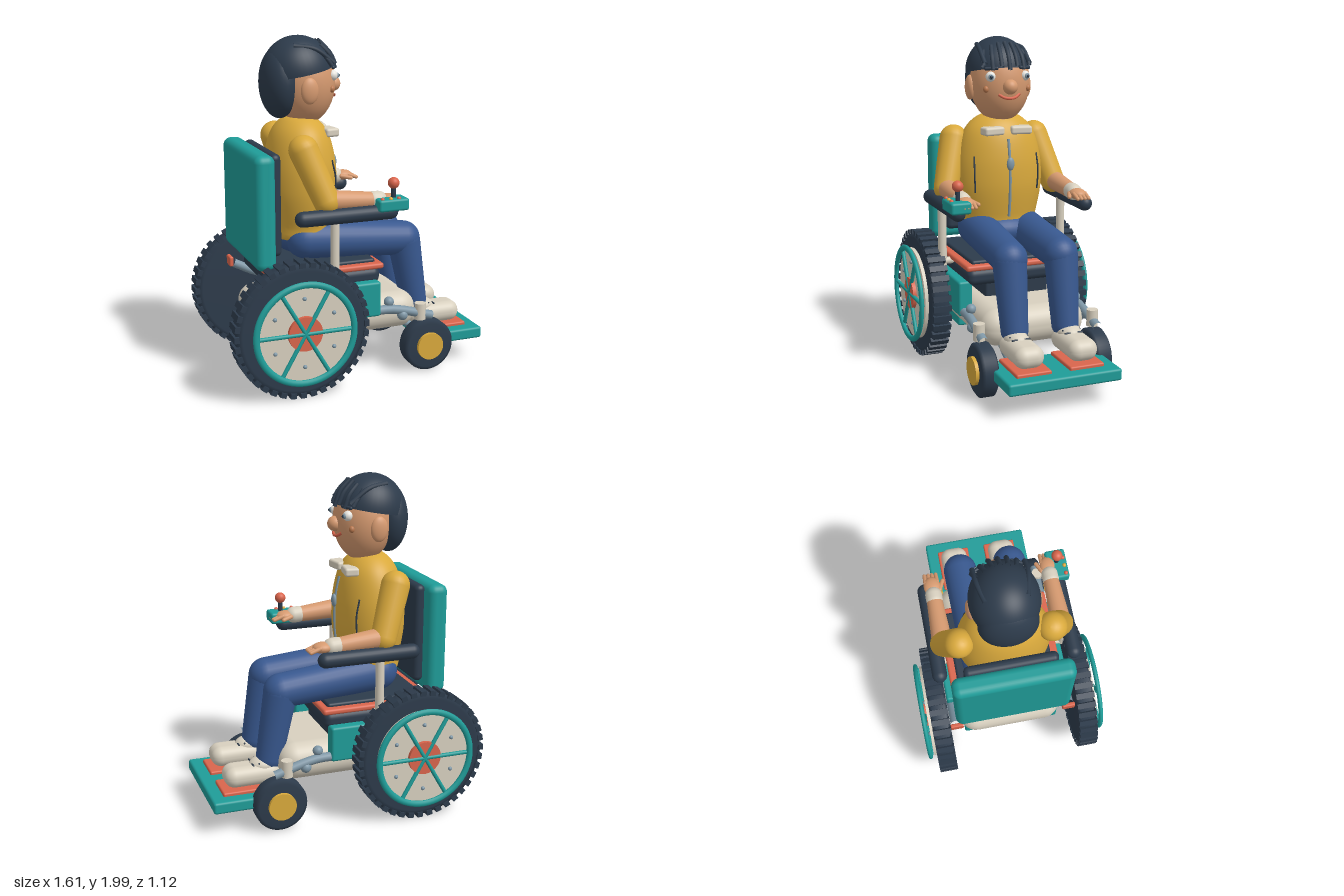
import * as THREE from 'three';
import { RoundedBoxGeometry } from 'three/addons/geometries/RoundedBoxGeometry.js';

const mat = (name, color, side = THREE.FrontSide) => {
  const m = new THREE.MeshStandardMaterial({ color, side });
  m.name = name;
  return m;
};

export function createModel() {
  const root = new THREE.Group();
  root.name = 'personInWheelchair';
  const teal = mat('teal', 0x1f9c98), navy = mat('navy', 0x2d3b4b, THREE.DoubleSide);
  const cream = mat('cream', 0xd8d0bf), gold = mat('gold', 0xd9a93c), denim = mat('denim', 0x38588f);
  const skin = mat('skin', 0xd69a70), coral = mat('coral', 0xd9654c), steel = mat('steel', 0x7f97a6);
  const freckle = mat('freckle', 0xb9784e), white = mat('eyeWhite', 0xf0eee8);

  const V = (x, y, z) => new THREE.Vector3(x, y, z);
  const add = (name, geo, m, x = 0, y = 0, z = 0, parent = root) => {
    const mesh = new THREE.Mesh(geo, m);
    mesh.name = name;
    mesh.position.set(x, y, z);
    parent.add(mesh);
    return mesh;
  };
  // Rounded box given by its limits on each axis
  const block = (name, m, [x0, x1], [y0, y1], [z0, z1], r = 0.015) =>
    add(name, new RoundedBoxGeometry(x1 - x0, y1 - y0, z1 - z0, 4, r), m, (x0 + x1) / 2, (y0 + y1) / 2, (z0 + z1) / 2);
  const ball = (name, m, x, y, z, rx, ry = rx, rz = rx, parent = root) => {
    const b = add(name, new THREE.SphereGeometry(1, 32, 20), m, x, y, z, parent);
    b.scale.set(rx, ry, rz);
    return b;
  };
  // Tapered capsule between two points
  const limb = (name, m, a, b, ra, rb = ra, parent = root) => {
    const len = a.distanceTo(b), pts = [];
    for (let i = 0; i <= 8; i++) {
      const t = -Math.PI / 2 + (i / 8) * Math.PI / 2;
      pts.push(new THREE.Vector2(Math.max(0, ra * Math.cos(t)), ra * Math.sin(t)));
    }
    for (let i = 0; i <= 8; i++) {
      const t = (i / 8) * Math.PI / 2;
      pts.push(new THREE.Vector2(Math.max(0, rb * Math.cos(t)), len + rb * Math.sin(t)));
    }
    const mesh = add(name, new THREE.LatheGeometry(pts, 24), m, a.x, a.y, a.z, parent);
    mesh.quaternion.setFromUnitVectors(V(0, 1, 0), b.clone().sub(a).normalize());
    return mesh;
  };
  const tube = (name, m, pts, r) =>
    add(name, new THREE.TubeGeometry(new THREE.CatmullRomCurve3(pts), 24, r, 10), m);
  // Disc whose axis runs along z
  const disc = (name, m, r, depth, z, parent, r2 = r) => {
    const d = add(name, new THREE.CylinderGeometry(r2, r, depth, 48), m, 0, 0, z, parent);
    d.rotation.x = Math.PI / 2;
    return d;
  };

  // Drive wheels: tyre, tread, wheel cover, spokes, hub and push ring
  const driveWheel = (s) => {
    const g = new THREE.Group();
    g.name = s > 0 ? 'leftDriveWheel' : 'rightDriveWheel';
    g.position.set(-0.41, 0.405, 0.445 * s);
    if (s < 0) g.rotation.y = Math.PI;
    root.add(g);
    const prof = [[0, -0.05], [0.35, -0.055], [0.385, -0.04], [0.385, 0.04], [0.35, 0.055], [0, 0.05]];
    add('tyre', new THREE.LatheGeometry(prof.map(p => new THREE.Vector2(...p)), 64), navy, 0, 0, 0, g).rotation.x = Math.PI / 2;
    for (let i = 0; i < 40; i++) {
      const a = i / 40 * Math.PI * 2;
      const t = add('tread', new THREE.BoxGeometry(0.03, 0.035, 0.112), navy, 0.383 * Math.cos(a), 0.383 * Math.sin(a), 0, g);
      t.rotation.z = a;
    }
    disc('wheelCover', cream, 0.285, 0.04, 0.055, g);
    const ring = add('pushRing', new THREE.TorusGeometry(0.287, 0.019, 12, 64), teal, 0, 0, 0.1, g);
    ring.scale.z = 0.75;
    disc('hub', coral, 0.1, 0.025, 0.085, g);
    for (let i = 0; i < 6; i++) {
      const a = i * Math.PI / 3, b = a + Math.PI / 6;
      limb('spoke', teal, V(0, 0, 0.092), V(0.28 * Math.cos(a), 0.28 * Math.sin(a), 0.092), 0.012, 0.012, g);
      ball('bolt', steel, 0.2 * Math.cos(b), 0.2 * Math.sin(b), 0.077, 0.012, 0.012, 0.012, g);
    }
  };

  // Chassis, seat and backrest
  block('chassis', cream, [-0.58, 0.39], [0.255, 0.48], [-0.32, 0.32], 0.105);
  block('batteryTray', teal, [-0.55, -0.16], [0.235, 0.36], [-0.3, 0.3]);
  block('seatPedestal', navy, [-0.4, 0.06], [0.46, 0.6], [-0.2, 0.2]);
  block('seatBase', navy, [-0.52, 0.13], [0.57, 0.67], [-0.33, 0.33], 0.04);
  block('seatTrim', coral, [-0.55, 0.145], [0.665, 0.7], [-0.345, 0.345]);
  block('seatPad', navy, [-0.5, 0.105], [0.67, 0.72], [-0.3, 0.3]);
  block('backrest', teal, [-0.625, -0.505], [0.72, 1.38], [-0.35, 0.35], 0.045);
  block('backCushion', navy, [-0.515, -0.45], [0.78, 1.37], [-0.27, 0.27], 0.03);

  // Footplate
  block('footplate', teal, [0.43, 0.805], [0.145, 0.215], [-0.34, 0.34]);

  for (const s of [1, -1]) {
    driveWheel(s);
    const P = (x, y, z) => V(x, y, z * s);
    const span = (a, b) => s > 0 ? [a, b] : [-b, -a];

    // Side frame
    block('sidePanel', teal, [-0.42, 0.11], [0.39, 0.6], span(0.3, 0.385));
    tube('frameTube', steel, [P(-0.57, 0.58, 0.36), P(-0.4, 0.5, 0.36), P(0, 0.42, 0.355), P(0.2, 0.41, 0.35), P(0.45, 0.345, 0.355)], 0.027);
    limb('axle', steel, P(-0.41, 0.405, 0.25), P(-0.41, 0.405, 0.4), 0.03);
    ball('frameBolt', steel, 0.18, 0.455, 0.335 * s, 0.03);
    ball('frameBolt', steel, 0.26, 0.37, 0.355 * s, 0.032);
    limb('footplateStrut', steel, P(0.25, 0.31, 0.2), P(0.5, 0.18, 0.2), 0.022);
    block('rearReflector', coral, [-0.605, -0.58], [0.57, 0.63], span(0.31, 0.39), 0.008);

    // Caster
    add('casterPivot', new THREE.CylinderGeometry(0.034, 0.034, 0.1, 24), cream, 0.375, 0.38, 0.355 * s);
    const c = new THREE.Group();
    c.name = 'caster';
    c.position.set(0.42, 0.17, 0.35 * s);
    if (s < 0) c.rotation.y = Math.PI;
    root.add(c);
    const cp = [[0, -0.05], [0.135, -0.05], [0.157, -0.035], [0.157, 0.035], [0.135, 0.05], [0, 0.05]];
    add('casterTyre', new THREE.LatheGeometry(cp.map(p => new THREE.Vector2(...p)), 48), navy, 0, 0, 0, c).rotation.x = Math.PI / 2;
    disc('casterHub', gold, 0.082, 0.14, 0, c);

    // Armrest
    const arm = limb('armrest', navy, P(-0.375, 1.022, 0.4), P(0.155, 1.022, 0.4), 0.044);
    arm.renderOrder = 0;
    limb('armrestPost', cream, P(-0.18, 0.64, 0.39), P(-0.18, 0.99, 0.39), 0.026);
    limb('postBracket', cream, P(-0.18, 0.66, 0.39), P(-0.18, 0.66, 0.31), 0.022);

    // Foot mats and shoes
    block('footMat', coral, [0.45, 0.73], [0.2, 0.235], span(0.055, 0.265), 0.01);
    block('shoe', cream, [0.37, 0.705], [0.235, 0.36], span(0.075, 0.25), 0.06);
    ball('shoeTongue', cream, 0.46, 0.345, 0.163 * s, 0.09, 0.05, 0.07);
    for (const x of [0.5, 0.535])
      limb('lace', navy, P(x, 0.368 - (x - 0.5) * 0.2, 0.11), P(x, 0.368 - (x - 0.5) * 0.2, 0.215), 0.005);

    // Legs
    limb('thigh', denim, P(-0.27, 0.835, 0.14), P(0.345, 0.785, 0.157), 0.115, 0.103);
    limb('shin', denim, P(0.35, 0.77, 0.16), P(0.422, 0.38, 0.158), 0.1, 0.08);

    // Arms and hands
    limb('sleeve', gold, P(-0.32, 1.385, 0.265), P(-0.215, 1.1, 0.35), 0.085, 0.075);
    limb('forearm', skin, P(-0.2, 1.105, 0.352), P(0.08, 1.085, 0.352), 0.06, 0.046);
    limb('wristBand', cream, P(0.07, 1.087, 0.352), P(0.1, 1.085, 0.352), 0.05);
    ball('hand', skin, 0.155, 1.085, 0.352 * s, 0.06, 0.032, 0.05);
    for (let i = 0; i < 4; i++) {
      const z = 0.318 + i * 0.023;
      limb('finger', skin, P(0.18, 1.09, z), P(0.235, 1.07, z), 0.013, 0.011);
    }
    limb('thumb', skin, P(0.13, 1.085, 0.31), P(0.185, 1.075, 0.285), 0.014, 0.012);

    // Collar and jacket seams
    const tab = block('collarTab', cream, [-0.15, -0.065], [1.425, 1.475], span(0.025, 0.155));
    tab.rotation.y = 0.15 * s;
    tube('jacketSeam', navy, [P(-0.125, 1.3, 0.2), P(-0.105, 1.2, 0.205), P(-0.11, 1.08, 0.2)], 0.005);

    // Ears, eyes, brows and cheeks
    ball('ear', skin, -0.25, 1.7, 0.18 * s, 0.052, 0.075, 0.028);
    ball('eye', white, -0.085, 1.775, 0.108 * s, 0.03);
    ball('iris', steel, -0.065, 1.775, 0.113 * s, 0.017);
    ball('pupil', navy, -0.055, 1.775, 0.115 * s, 0.01);
    limb('eyebrow', navy, P(-0.066, 1.825, 0.075), P(-0.092, 1.822, 0.135), 0.01);
    ball('cheekMark', freckle, -0.1, 1.7, 0.132 * s, 0.017, 0.02, 0.017);
  }

  // Control pad with joystick
  block('controlPad', teal, [0.06, 0.245], [1.035, 1.105], [0.345, 0.467]);
  limb('joystick', navy, V(0.17, 1.1, 0.405), V(0.17, 1.18, 0.405), 0.014);
  ball('joystickKnob', coral, 0.17, 1.188, 0.405, 0.033);
  [coral, gold, coral].forEach((m, i) => ball('button', m, 0.085 + i * 0.05, 1.105, 0.447, 0.012));

  // Pelvis, torso and neck
  ball('pelvis', denim, -0.23, 0.835, 0, 0.2, 0.115, 0.24);
  const body = [[0, 0.82], [0.78, 0.83], [0.87, 0.92], [0.97, 1.05], [1, 1.15], [0.97, 1.27], [0.86, 1.39], [0.7, 1.47], [0.45, 1.525], [0.2, 1.54], [0, 1.54]];
  const profile = new THREE.SplineCurve(body.map(p => new THREE.Vector2(...p))).getPoints(50);
  profile.forEach(p => { p.x = Math.max(0, p.x); });
  const torso = add('jacket', new THREE.LatheGeometry(profile, 48), gold, -0.255, 0, 0);
  torso.scale.set(0.21, 1, 0.275);
  add('neck', new THREE.CylinderGeometry(0.085, 0.095, 0.12, 32), skin, -0.235, 1.54, 0);
  tube('zip', steel, [V(-0.066, 0.93, 0), V(-0.049, 1.06, 0), V(-0.045, 1.15, 0), V(-0.05, 1.27, 0), V(-0.074, 1.4, 0)], 0.009);
  ball('zipPull', steel, -0.04, 1.255, 0, 0.016, 0.04, 0.024);

  // Head, nose and smile
  ball('head', skin, -0.22, 1.73, 0, 0.178, 0.243, 0.182);
  ball('nose', skin, -0.045, 1.715, 0, 0.045);
  tube('smile', coral, [V(-0.065, 1.67, 0.065), V(-0.05, 1.652, 0.035), V(-0.043, 1.647, 0), V(-0.05, 1.652, -0.035), V(-0.065, 1.67, -0.065)], 0.009);

  // Hair: cap, back lobe and fringe
  const cap = add('hairCap', new THREE.SphereGeometry(1, 40, 20, 0, Math.PI * 2, 0, Math.PI / 2), navy, -0.26, 1.79, 0);
  cap.scale.set(0.21, 0.21, 0.192);
  cap.rotation.z = 0.18;
  ball('backHair', navy, -0.375, 1.735, 0, 0.11, 0.205, 0.165);
  for (let i = -3; i <= 3; i++) {
    const z = i * 0.047, k = Math.sqrt(1 - (z / 0.2) ** 2);
    tube('fringeStrand', navy, [
      V(-0.26 + 0.12 * k, 1.8 + 0.17 * k, z * 0.85),
      V(-0.26 + 0.185 * k, 1.8 + 0.1 * k, z),
      V(-0.255 + 0.212 * k, 1.815 + (i % 2 ? 0.02 : 0), z * 1.04)], 0.013);
  }
  for (const s of [1, -1])
    tube('sideStrand', navy, [V(-0.32, 1.95, 0.11 * s), V(-0.2, 1.93, 0.135 * s), V(-0.09, 1.85, 0.14 * s)], 0.014);

  return root;
}
